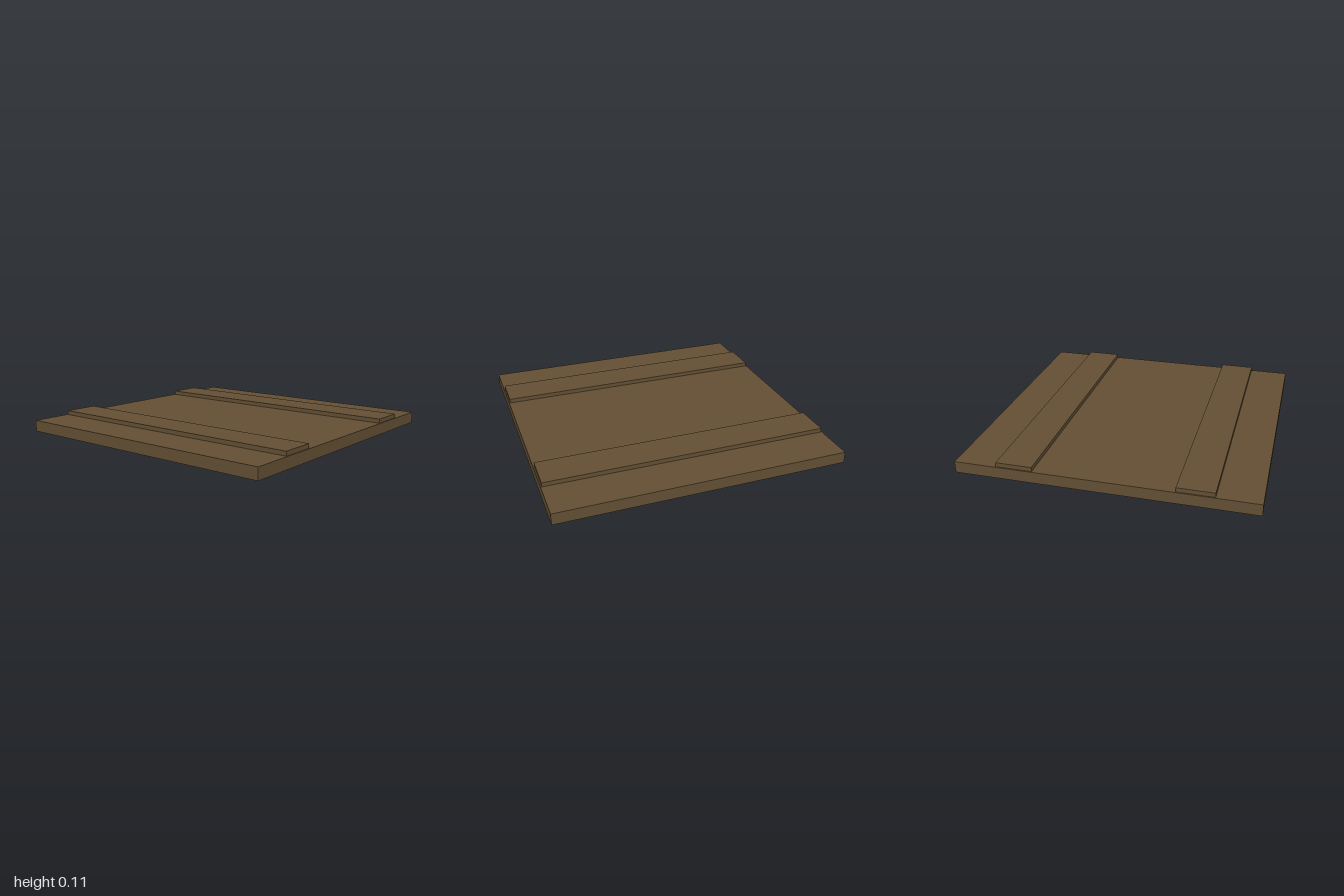
import * as THREE from 'three';

export function createModel() {
  const model = new THREE.Group();
  model.name = 'batten door panel';
  const wood = new THREE.MeshStandardMaterial({ color: 0x634f34 });
  wood.name = 'brown wood';

  // A box placed by its centre in x and its underside in y
  const addBoard = (name, width, height, depth, x, bottom) => {
    const board = new THREE.Mesh(new THREE.BoxGeometry(width, height, depth), wood);
    board.name = name;
    board.position.set(x, bottom + height / 2, 0);
    model.add(board);
  };

  // Main square panel
  addBoard('panel', 2, 0.08, 2, 0, 0);

  // Two raised battens, slightly shorter than the panel and sunk into it
  addBoard('leftBatten', 0.246, 0.05, 1.984, 0.588, 0.06);
  addBoard('rightBatten', 0.246, 0.05, 1.984, -0.592, 0.06);

  return model;
}
